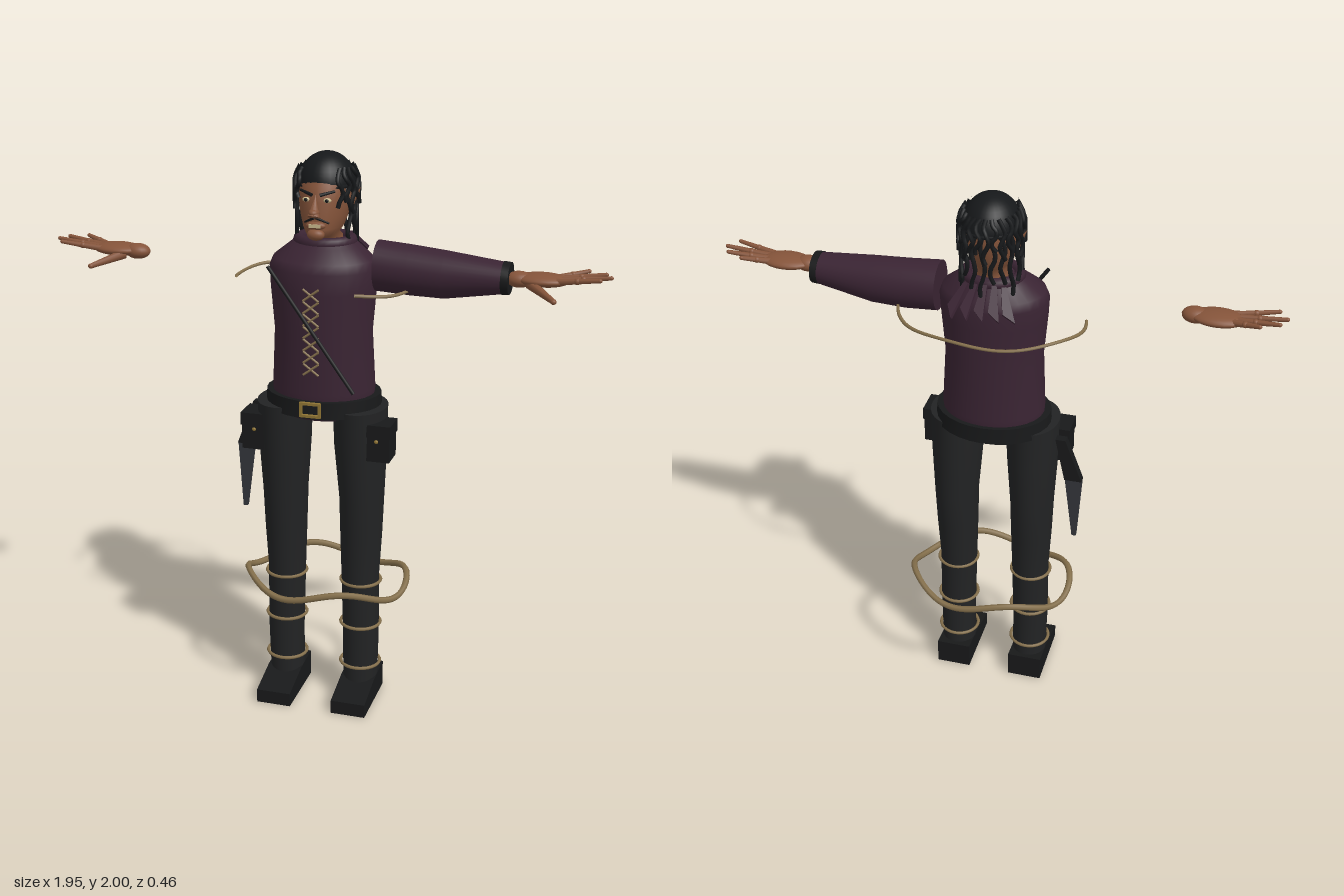
import * as THREE from 'three';

const mat = (name, color, double) => {
  const m = new THREE.MeshStandardMaterial({ color });
  m.name = name;
  if (double) m.side = THREE.DoubleSide;
  return m;
};
const V = (x, y, z) => new THREE.Vector3(x, y, z);

export function createModel() {
  const root = new THREE.Group();
  root.name = 'swashbuckler';
  const purple = mat('purple cloth', 0x3a2433);
  const trousers = mat('dark trousers', 0x222324);
  const leather = mat('black leather', 0x18191a);
  const hair = mat('black hair', 0x16181a);
  const skin = mat('brown skin', 0x85543a);
  const rope = mat('tan rope', 0x85704c, true);
  const brass = mat('brass', 0x8f7434);
  const ivory = mat('ivory', 0xc9b88c);
  const steel = mat('dark steel', 0x33353a);

  const add = (name, geo, material, x = 0, y = 0, z = 0, parent = root) => {
    const m = new THREE.Mesh(geo, material);
    m.name = name;
    m.position.set(x, y, z);
    parent.add(m);
    return m;
  };

  // Closed loft of ellipses along y or x; section = [t, centreA, centreB, radiusA, radiusB]
  const loft = (sections, axis = 'y', n = 28) => {
    const first = sections[0], last = sections[sections.length - 1];
    const tip = (s) => [s[0], s[1], s[2], 0, 0];
    const rows = [tip(first), first, ...sections, last, tip(last)];
    const pos = [], idx = [];
    rows.forEach(([t, ca, cb, ra, rb], i) => {
      for (let j = 0; j < n; j++) {
        const a = (j / n) * Math.PI * 2;
        if (axis === 'y') pos.push(ca + ra * Math.cos(a), t, cb + rb * Math.sin(a));
        else pos.push(t, ca + ra * Math.sin(a), cb + rb * Math.cos(a));
        if (i < rows.length - 1) {
          const p = i * n + j, q = i * n + (j + 1) % n;
          idx.push(p, p + n, q, q, p + n, q + n);
        }
      }
    });
    const g = new THREE.BufferGeometry();
    g.setAttribute('position', new THREE.Float32BufferAttribute(pos, 3));
    g.setIndex(idx);
    g.computeVertexNormals();
    return g;
  };
  const tube = (pts, r, closed = false, seg = 12, sides = 6) =>
    new THREE.TubeGeometry(new THREE.CatmullRomCurve3(pts, closed), seg, r, sides, closed);
  const ball = (rx, ry, rz) => new THREE.SphereGeometry(1, 20, 14).scale(rx, ry, rz);
  // Tapered rod from a to b
  const rod = (name, a, b, r1, r2, material, parent = root) => {
    const d = b.clone().sub(a);
    const m = add(name, new THREE.CylinderGeometry(r2, r1, d.length(), 8), material, 0, 0, 0, parent);
    m.position.copy(a).addScaledVector(d, 0.5);
    m.quaternion.setFromUnitVectors(V(0, 1, 0), d.normalize());
    return m;
  };
  const plate = (pts, depth) => new THREE.ExtrudeGeometry(
    new THREE.Shape(pts.map(([x, y]) => new THREE.Vector2(x, y))), { depth, bevelEnabled: false });

  // Shirt, collar and belt
  add('shirt', loft([
    [1.10, 0, 0.03, 0.15, 0.12], [1.14, 0, 0.03, 0.178, 0.145], [1.2, 0, 0.03, 0.18, 0.145],
    [1.4, 0, 0.035, 0.17, 0.145], [1.55, 0, 0.035, 0.183, 0.148], [1.62, 0, 0.033, 0.187, 0.147],
    [1.65, 0, 0.03, 0.175, 0.135], [1.69, 0, 0.02, 0.125, 0.1], [1.71, 0, 0.015, 0.1, 0.085]]), purple);
  add('collar', new THREE.TorusGeometry(0.09, 0.02, 10, 28).rotateX(Math.PI / 2).scale(1, 1.1, 0.87), purple, 0, 1.705, 0.015);
  add('belt', loft([[1.12, 0, 0.03, 0.205, 0.162], [1.18, 0, 0.03, 0.202, 0.16]]), leather);
  for (const s of [-1, 1]) {
    add('buckleBar', new THREE.BoxGeometry(0.075, 0.009, 0.012), brass, 0, 1.155 + s * 0.022, 0.198);
    add('buckleSide', new THREE.BoxGeometry(0.009, 0.053, 0.012), brass, s * 0.033, 1.155, 0.198);
  }

  // Chest lacing and shoulder strap
  for (let i = 0; i < 7; i++) {
    const y = 1.275 + i * 0.043;
    for (const s of [-1, 1])
      rod('lace', V(-s * 0.027, y, 0.186), V(s * 0.027, y + 0.04, 0.186), 0.004, 0.004, rope);
  }
  rod('shoulderStrap', V(-0.145, 1.645, 0.197), V(0.15, 1.225, 0.19), 0.007, 0.007, leather);

  // Left sleeve and cuff
  add('sleeve', loft([
    [0.185, 1.63, 0.02, 0.086, 0.083], [0.3, 1.622, 0.02, 0.085, 0.082],
    [0.42, 1.617, 0.028, 0.08, 0.078], [0.63, 1.624, 0.042, 0.051, 0.06]], 'x'), purple);
  add('cuff', loft([[0.615, 1.624, 0.042, 0.055, 0.063], [0.64, 1.624, 0.043, 0.053, 0.062]], 'x'), leather);

  for (const s of [-1, 1]) {
    // Hand: wrist, palm, fingers, thumb
    const hand = new THREE.Group();
    hand.name = s > 0 ? 'leftHand' : 'rightHand';
    root.add(hand);
    add('wrist', ball(0.045, 0.027, 0.035), skin, s * 0.67, 1.627, 0.055, hand);
    add('palm', ball(0.09, 0.022, 0.057), skin, s * 0.745, 1.63, 0.05, hand);
    [[0.025, 0.885, -0.015], [0.042, 0.945, 0.015], [0.06, 0.965, 0.055], [0.078, 0.935, 0.1]].forEach(([z0, x1, z1]) => {
      const a = V(s * 0.79, 1.632, z0), b = V(s * x1, 1.652, z1);
      rod('finger', a, b, 0.012, 0.007, skin, hand);
      add('fingertip', ball(0.008, 0.007, 0.007), skin, b.x, b.y, b.z, hand);
      const k = a.lerp(b, 0.5);
      add('knuckle', ball(0.012, 0.011, 0.011), skin, k.x, k.y, k.z, hand);
    });
    rod('thumb', V(s * 0.71, 1.62, 0.08), V(s * 0.8, 1.59, 0.165), 0.018, 0.009, skin, hand);
    add('thumbTip', ball(0.01, 0.009, 0.01), skin, s * 0.8, 1.59, 0.165, hand);

    // Trouser leg with rope bands
    add('trouserLeg', loft([
      [0.06, s * 0.14, 0.035, 0.062, 0.068], [0.25, s * 0.142, 0.038, 0.065, 0.068],
      [0.5, s * 0.138, 0.038, 0.068, 0.072], [0.65, s * 0.14, 0.037, 0.074, 0.088],
      [0.8, s * 0.141, 0.036, 0.078, 0.104], [1.0, s * 0.138, 0.045, 0.091, 0.116],
      [1.14, s * 0.137, 0.048, 0.094, 0.122]]), trousers);
    for (const y of [0.14, 0.3, 0.47])
      add('legBand', new THREE.TorusGeometry(0.072, 0.006, 6, 28).rotateX(Math.PI / 2), rope, s * 0.14, y, 0.038);

    // Shoe
    const shoe = plate([[-0.05, 0], [0.21, 0], [0.21, 0.05], [0.075, 0.085], [-0.05, 0.095]], 0.126);
    add('shoe', shoe.rotateY(-Math.PI / 2), leather, s * 0.141 + 0.063, 0, 0);

    // Belt pouch with flap and stud
    add('pouch', new THREE.BoxGeometry(0.08, 0.13, 0.095), leather, s * 0.225, 1.035, 0.097);
    add('pouchFlap', new THREE.BoxGeometry(0.088, 0.045, 0.1), leather, s * 0.225, 1.08, 0.098);
    add('pouchStud', ball(0.007, 0.007, 0.005), brass, s * 0.22, 1.045, 0.148);

    // Face features and ear
    add('eye', ball(0.014, 0.008, 0.008), ivory, s * 0.036, 1.858, 0.112);
    add('pupil', ball(0.006, 0.006, 0.004), hair, s * 0.036, 1.858, 0.119);
    rod('eyebrow', V(s * 0.014, 1.876, 0.124), V(s * 0.06, 1.888, 0.104), 0.006, 0.004, hair);
    rod('moustache', V(s * 0.003, 1.803, 0.135), V(s * 0.042, 1.782, 0.112), 0.005, 0.003, hair);
    const ear = add('ear', new THREE.ConeGeometry(0.022, 0.06, 10).scale(0.5, 1, 1), skin, s * 0.104, 1.86, -0.005);
    ear.rotation.z = -s * 0.5;
  }

  // Dagger at the right hip
  add('daggerHandle', plate([[-0.33, 0.935], [-0.268, 0.935], [-0.232, 1.1], [-0.268, 1.1]], 0.03), leather, 0, 0, -0.015);
  add('daggerBlade', plate([[-0.33, 0.935], [-0.315, 0.69], [-0.3, 0.69], [-0.268, 0.935]], 0.016), steel, 0, 0, -0.008);

  // Head
  add('head', loft([
    [1.66, 0, 0, 0.055, 0.055], [1.72, 0, 0.005, 0.056, 0.062], [1.735, 0, 0.04, 0.05, 0.09],
    [1.76, 0, 0.03, 0.066, 0.102], [1.8, 0, 0.018, 0.079, 0.11], [1.85, 0, 0.01, 0.088, 0.113],
    [1.9, 0, 0.002, 0.09, 0.11], [1.95, 0, -0.005, 0.07, 0.085]]), skin);
  add('nose', new THREE.ConeGeometry(0.022, 0.075, 10).rotateX(-0.38), skin, 0, 1.843, 0.137);
  add('noseTip', ball(0.018, 0.014, 0.024), skin, 0, 1.822, 0.145);
  add('chin', ball(0.03, 0.02, 0.022), skin, 0, 1.745, 0.125);
  add('lips', ball(0.034, 0.014, 0.014), skin, 0, 1.775, 0.126);
  add('teeth', new THREE.BoxGeometry(0.04, 0.011, 0.006), ivory, 0, 1.776, 0.139);
  add('hairCap', new THREE.SphereGeometry(1, 28, 12, 0, Math.PI * 2, 0, Math.PI / 2).scale(0.097, 0.108, 0.11), hair, 0, 1.892, -0.004);
  add('hairCapRim', new THREE.TorusGeometry(1, 0.06, 6, 28).rotateX(Math.PI / 2).scale(0.094, 0.1, 0.107), hair, 0, 1.895, -0.004);

  // Locks of hair: short curls above, longer strands below
  const lock = (angle, top, bottom, spread) => {
    const pts = [];
    for (let i = 0; i <= 6; i++) {
      const t = i / 6, a = angle + 0.09 * Math.sin(t * 9 + angle * 3);
      const r = 1 + spread * Math.sin(Math.min(1, t * 2.2) * Math.PI / 2);
      pts.push(V(0.088 * r * Math.sin(a), top + (bottom - top) * t, -0.004 + 0.1 * r * Math.cos(a)));
    }
    add('hairLock', tube(pts, 0.0075, false, 14), hair);
  };
  for (let i = 0; i < 20; i++) {
    const a = 0.75 + (i / 19) * (Math.PI * 2 - 1.5);
    lock(a, 1.955, 1.83 + 0.025 * Math.sin(i * 2.4), 0.22);
  }
  for (let i = 0; i < 13; i++) {
    const a = 1.15 + (i / 12) * (Math.PI * 2 - 2.3);
    lock(a, 1.9, 1.71 + 0.035 * Math.sin(i * 1.9), 0.14);
  }

  // Cloth tails fanning out behind the collar
  for (let i = -2; i <= 2; i++) {
    const tail = add('scarfTail', plate([[-0.008, 0], [0.008, 0], [0.019, -0.09], [-0.017, -0.125]], 0.012),
      purple, i * 0.032, 1.715, -0.09);
    tail.rotation.set(0.85, i * -0.13, i * 0.18);
  }

  // Loose ropes: one around the back at chest height, one around the shins
  const loop = (a0, a1, n, rx, rz, y, amp, waves) => Array.from({ length: n }, (_, i) => {
    const a = a0 + (a1 - a0) * i / n;
    return V(rx * Math.sin(a), y + amp * Math.sin(a * waves), -0.005 + rz * Math.cos(a));
  });
  add('chestRope', tube(loop(0.5, 5.0, 40, 0.32, 0.228, 1.563, 0.006, 5), 0.006, false, 90), rope);
  add('shinRope', tube(loop(0, Math.PI * 2, 48, 0.295, 0.22, 0.45, 0.022, 4), 0.0115, true, 110), rope);

  return root;
}
